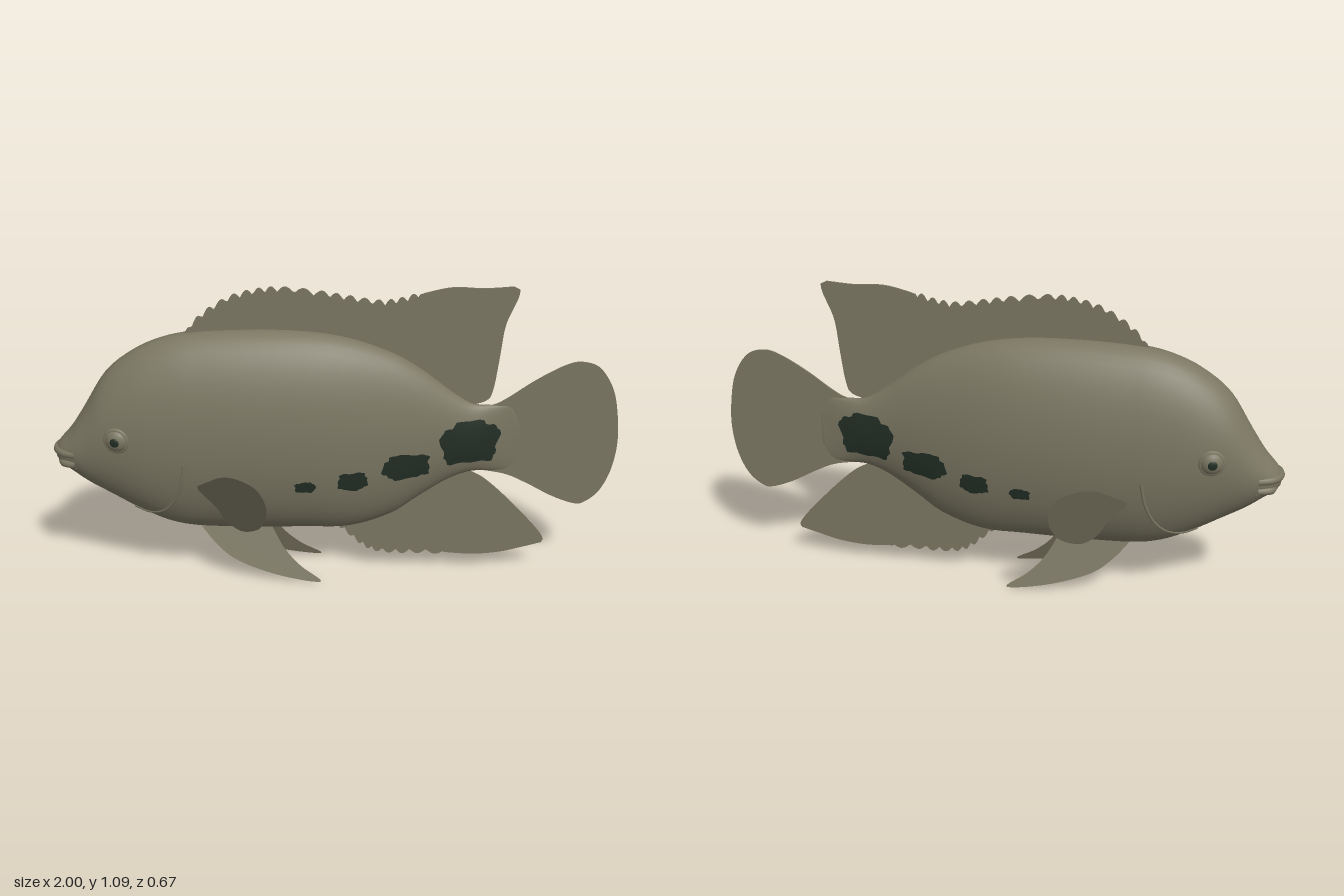
import * as THREE from 'three';

const skin = new THREE.MeshStandardMaterial({ color: 0x7a7662, side: THREE.DoubleSide });
skin.name = 'olive skin';
const dark = new THREE.MeshStandardMaterial({ color: 0x222e25, side: THREE.DoubleSide });
dark.name = 'dark green marking';

// Body stations: x, top, bottom, half width
const stations = [
  [-0.988, 0.51, 0.46, 0.025], [-0.97, 0.535, 0.44, 0.055], [-0.93, 0.58, 0.41, 0.08],
  [-0.88, 0.655, 0.37, 0.1], [-0.8, 0.78, 0.32, 0.125], [-0.7, 0.86, 0.26, 0.145],
  [-0.6, 0.905, 0.212, 0.155], [-0.5, 0.926, 0.191, 0.161], [-0.3, 0.936, 0.185, 0.165],
  [-0.1, 0.93, 0.184, 0.156], [0.05, 0.905, 0.186, 0.138], [0.2, 0.85, 0.235, 0.109],
  [0.3, 0.79, 0.305, 0.086], [0.4, 0.712, 0.37, 0.061], [0.48, 0.662, 0.4, 0.041],
  [0.56, 0.655, 0.402, 0.02], [0.62, 0.65, 0.41, 0.008], [0.65, 0.6, 0.45, 0.004],
];

// Smooth interpolation of one station column at x
function at(x, k) {
  const s = stations, n = s.length;
  let i = 0;
  while (i < n - 2 && x > s[i + 1][0]) i++;
  const slope = (j) => {
    const a = s[Math.max(j - 1, 0)], b = s[Math.min(j + 1, n - 1)];
    return (b[k] - a[k]) / (b[0] - a[0]);
  };
  const d = s[i + 1][0] - s[i][0], t = (x - s[i][0]) / d, t2 = t * t, t3 = t2 * t;
  return (2 * t3 - 3 * t2 + 1) * s[i][k] + (t3 - 2 * t2 + t) * d * slope(i)
    + (3 * t2 - 2 * t3) * s[i + 1][k] + (t3 - t2) * d * slope(i + 1);
}

// Half thickness of the body at a point of its side
function sideZ(x, y) {
  const top = at(x, 1), bottom = at(x, 2);
  const v = (y - (top + bottom) / 2) / ((top - bottom) / 2);
  return at(x, 3) * Math.sqrt(Math.max(0, 1 - v * v));
}

function gridGeometry(positions, index) {
  const g = new THREE.BufferGeometry();
  g.setAttribute('position', new THREE.Float32BufferAttribute(positions, 3));
  g.setIndex(index);
  g.computeVertexNormals();
  return g;
}

// Lofted oval body, closed at both ends
function bodyGeometry() {
  const xs = [], pos = [], idx = [], ring = 48;
  for (let i = 0; i < stations.length - 1; i++) {
    for (let k = 0; k < 4; k++) xs.push(THREE.MathUtils.lerp(stations[i][0], stations[i + 1][0], k / 4));
  }
  xs.push(0.65);
  xs.forEach((x, i) => {
    const top = at(x, 1), bottom = at(x, 2), w = at(x, 3);
    for (let j = 0; j < ring; j++) {
      const t = (j / ring) * Math.PI * 2;
      pos.push(x, (top + bottom) / 2 + ((top - bottom) / 2) * Math.cos(t), w * Math.sin(t));
      if (i === xs.length - 1) continue;
      const a = i * ring + j, b = i * ring + (j + 1) % ring;
      idx.push(a, b, a + ring, b, b + ring, a + ring);
    }
  });
  const nose = pos.length / 3, end = nose + 1, last = (xs.length - 1) * ring;
  pos.push(-0.992, 0.485, 0, 0.652, 0.525, 0);
  for (let j = 0; j < ring; j++) {
    const k = (j + 1) % ring;
    idx.push(nose, k, j, end, last + j, last + k);
  }
  return gridGeometry(pos, idx);
}

const vec = (pts) => pts.map(([x, y]) => new THREE.Vector2(x, y));
const smooth = (pts, n = 40) => new THREE.SplineCurve(vec(pts)).getPoints(n);

// Fin edge with rounded teeth over the first part of its length
function toothed(pts, teeth, until, amp) {
  const n = 160;
  return smooth(pts, n).map((p, i) => {
    const f = i / n;
    if (f < until) p.y += amp * (Math.abs(Math.sin((f / until) * teeth * Math.PI)) - 0.5) * Math.min(1, f * 20);
    return p;
  });
}

// Thin upright fin on the middle plane
function flatFin(points) {
  const depth = 0.006;
  return new THREE.ExtrudeGeometry(new THREE.Shape(points), { depth, bevelEnabled: false }).translate(0, 0, -depth / 2);
}

// Single-sheet fin whose z follows a rule
function slantedFin(points, rule) {
  const g = new THREE.ShapeGeometry(new THREE.Shape(points));
  const p = g.attributes.position;
  for (let i = 0; i < p.count; i++) p.setZ(i, rule(p.getX(i), p.getY(i)));
  g.computeVertexNormals();
  return g;
}

// Ragged patch laid on the flank
function spotGeometry(cx, cy, rx, ry, seed) {
  const pos = [], idx = [], n = 40, rings = 5;
  for (let r = 0; r <= rings; r++) {
    for (let j = 0; j < n; j++) {
      const t = (j / n) * Math.PI * 2, c = Math.cos(t), s = Math.sin(t);
      const k = (r / rings) * (0.97 + 0.07 * Math.sin(5 * t + seed) + 0.05 * Math.sin(11 * t + seed * 2));
      const x = cx + rx * k * Math.sign(c) * Math.abs(c) ** 0.65;
      const y = cy + ry * k * Math.sign(s) * Math.abs(s) ** 0.65;
      pos.push(x, y, sideZ(x, y) + 0.003);
      if (r === rings) continue;
      const a = r * n + j, b = r * n + (j + 1) % n;
      idx.push(a, a + n, b, b, a + n, b + n);
    }
  }
  return gridGeometry(pos, idx);
}

function tube(points, radius) {
  return new THREE.TubeGeometry(new THREE.CatmullRomCurve3(points), 32, radius, 8);
}

export function createModel() {
  const fish = new THREE.Group();
  fish.name = 'fish';
  const add = (name, geometry, material = skin, parent = fish) => {
    const m = new THREE.Mesh(geometry, material);
    m.name = name;
    parent.add(m);
    return m;
  };

  add('body', bodyGeometry());

  // Lips wrapping the snout
  const lip = (y, tip) => tube([[-0.91, 0.078], [-0.955, 0.06], [tip + 0.006, 0.03], [tip, 0],
    [tip + 0.006, -0.03], [-0.955, -0.06], [-0.91, -0.078]]
    .map(([x, z]) => new THREE.Vector3(x, y, z)), 0.014);
  add('upperLip', lip(0.499, -0.986));
  add('lowerLip', lip(0.462, -0.972));

  // Middle fins
  const back = [0.5, 0.3, 0.1, -0.1, -0.3, -0.48].map((x) => new THREE.Vector2(x, at(x, 1) - 0.03));
  add('dorsalFin', flatFin([
    ...toothed([[-0.52, 0.92], [-0.45, 0.99], [-0.36, 1.045], [-0.27, 1.07], [-0.18, 1.077], [-0.05, 1.062],
      [0.05, 1.045], [0.15, 1.03], [0.23, 1.04], [0.31, 1.066], [0.4, 1.084], [0.5, 1.08], [0.6, 1.086]], 18, 0.72, 0.022),
    ...smooth([[0.622, 1.075], [0.615, 1.04], [0.58, 0.95], [0.565, 0.83], [0.55, 0.72], [0.53, 0.675], [0.47, 0.655]]),
    ...back]));
  const belly = [0.48, 0.4, 0.3, 0.2, 0.1, 0.02].map((x) => new THREE.Vector2(x, at(x, 2) + 0.03));
  add('analFin', flatFin([
    ...toothed([[0, 0.19], [0.05, 0.148], [0.1, 0.103], [0.15, 0.08], [0.22, 0.072], [0.3, 0.072], [0.4, 0.067],
      [0.5, 0.06], [0.6, 0.068], [0.69, 0.09], [0.755, 0.108]], 9, 0.6, -0.018),
    ...smooth([[0.762, 0.12], [0.75, 0.145], [0.7, 0.205], [0.6, 0.31], [0.53, 0.372], [0.48, 0.4]]),
    ...belly]));
  add('tailFin', flatFin(smooth([[0.48, 0.64], [0.55, 0.655], [0.6, 0.68], [0.7, 0.75], [0.8, 0.805],
    [0.86, 0.815], [0.92, 0.79], [0.97, 0.71], [0.994, 0.6], [1, 0.5], [0.985, 0.4], [0.95, 0.32],
    [0.9, 0.275], [0.86, 0.27], [0.78, 0.3], [0.68, 0.355], [0.6, 0.39], [0.48, 0.41]], 90)));

  // Paired parts, built on the +z flank and mirrored
  const flank = new THREE.Group();
  flank.name = 'flank';

  add('pectoralFin', slantedFin(smooth([[-0.48, 0.42], [-0.44, 0.457], [-0.385, 0.503], [-0.33, 0.515],
    [-0.27, 0.495], [-0.24, 0.44], [-0.235, 0.37], [-0.26, 0.295], [-0.3, 0.256], [-0.34, 0.245],
    [-0.385, 0.275], [-0.415, 0.33], [-0.45, 0.37], [-0.478, 0.4]], 60),
  (x, y) => 0.23 + 0.62 * (x + 0.34) + 0.52 * (y - 0.38)), skin, flank);

  add('pelvicFin', slantedFin(smooth([[-0.5, 0.215], [-0.43, 0.133], [-0.35, 0.075], [-0.2, 0.024], [-0.055, 0.003],
    [-0.13, 0.06], [-0.19, 0.125], [-0.24, 0.215]], 50), (x, y) => 0.04 + (0.19 - y) * 0.35), skin, flank);

  // Gill cover edge
  add('gillEdge', tube([[-0.525, 0.49], [-0.54, 0.41], [-0.575, 0.33], [-0.62, 0.285], [-0.67, 0.27], [-0.72, 0.285]]
    .map(([x, y]) => new THREE.Vector3(x, y, sideZ(x, y) - 0.002)), 0.006), skin, flank);

  // Eye with rim and pupil
  const eye = new THREE.Group();
  eye.name = 'eye';
  eye.position.set(-0.753, 0.578, 0.13);
  eye.rotation.y = -0.2;
  add('eyeball', new THREE.SphereGeometry(0.04, 24, 16).scale(1, 1, 0.6), skin, eye);
  add('eyeRim', new THREE.TorusGeometry(0.038, 0.009, 10, 32), skin, eye);
  add('pupil', new THREE.SphereGeometry(0.016, 16, 10).scale(1, 1, 0.3), dark, eye).position.z = 0.022;
  flank.add(eye);

  // Row of dark markings growing toward the tail
  [[-0.108, 0.404, 0.037, 0.022], [0.058, 0.42, 0.053, 0.037], [0.248, 0.46, 0.085, 0.05], [0.472, 0.527, 0.106, 0.083]]
    .forEach(([x, y, rx, ry], i) => add('flankSpot', spotGeometry(x, y, rx, ry, i * 1.7 + 1), dark, flank));

  const mirrored = flank.clone();
  mirrored.scale.z = -1;
  flank.name = 'leftFlank';
  mirrored.name = 'rightFlank';
  flank.name = 'frontFlank';
  mirrored.name = 'backFlank';
  fish.add(flank, mirrored);
  return fish;
}
